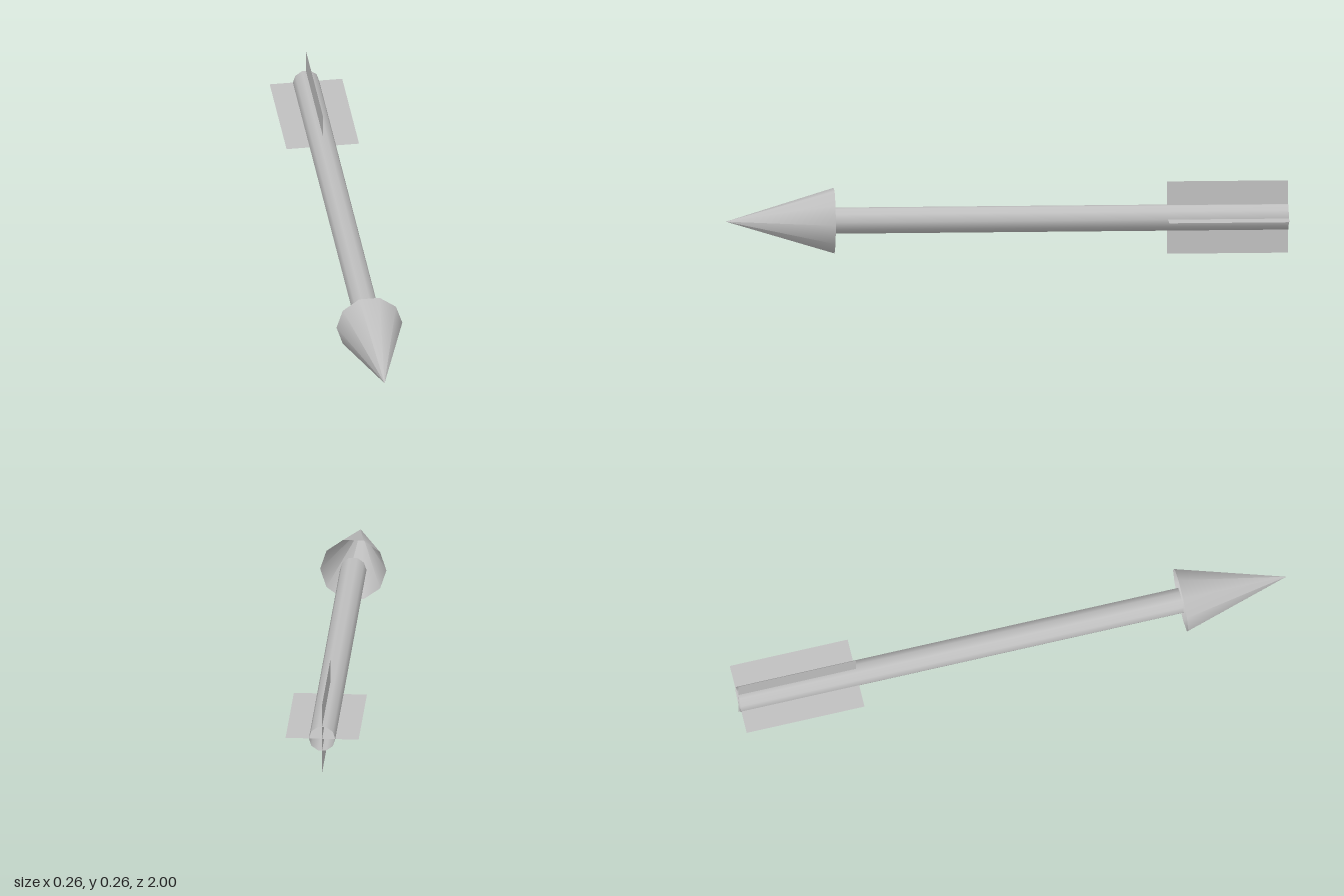
import * as THREE from 'three';

export function createModel() {
  const model = new THREE.Group();
  model.name = 'arrow';
  const grey = new THREE.MeshStandardMaterial({ color: 0xbfbfbf, side: THREE.DoubleSide });
  grey.name = 'light grey';
  const axisY = 0.13, back = -1, neck = 0.615, tip = 1, sides = 10;

  // Open ten-sided tube lying along z, with a corner on the x axis
  function tube(name, frontRadius, backRadius, z0, z1) {
    const geo = new THREE.CylinderGeometry(frontRadius, backRadius, z1 - z0, sides, 1, true, Math.PI / 2);
    geo.rotateX(Math.PI / 2);
    const mesh = new THREE.Mesh(geo, grey);
    mesh.name = name;
    mesh.position.set(0, axisY, (z0 + z1) / 2);
    model.add(mesh);
  }

  tube('shaft', 0.047, 0.047, back, neck);
  tube('arrowhead', 0, 0.118, neck, tip);

  // Two crossed sheets form the four tail fins
  const finEnd = -0.57;
  for (const [name, turn] of [['horizontalFins', 0], ['verticalFins', Math.PI / 2]]) {
    const geo = new THREE.PlaneGeometry(0.26, finEnd - back);
    geo.rotateX(-Math.PI / 2);
    geo.rotateZ(turn);
    const fins = new THREE.Mesh(geo, grey);
    fins.name = name;
    fins.position.set(0, axisY, (back + finEnd) / 2);
    model.add(fins);
  }

  return model;
}
